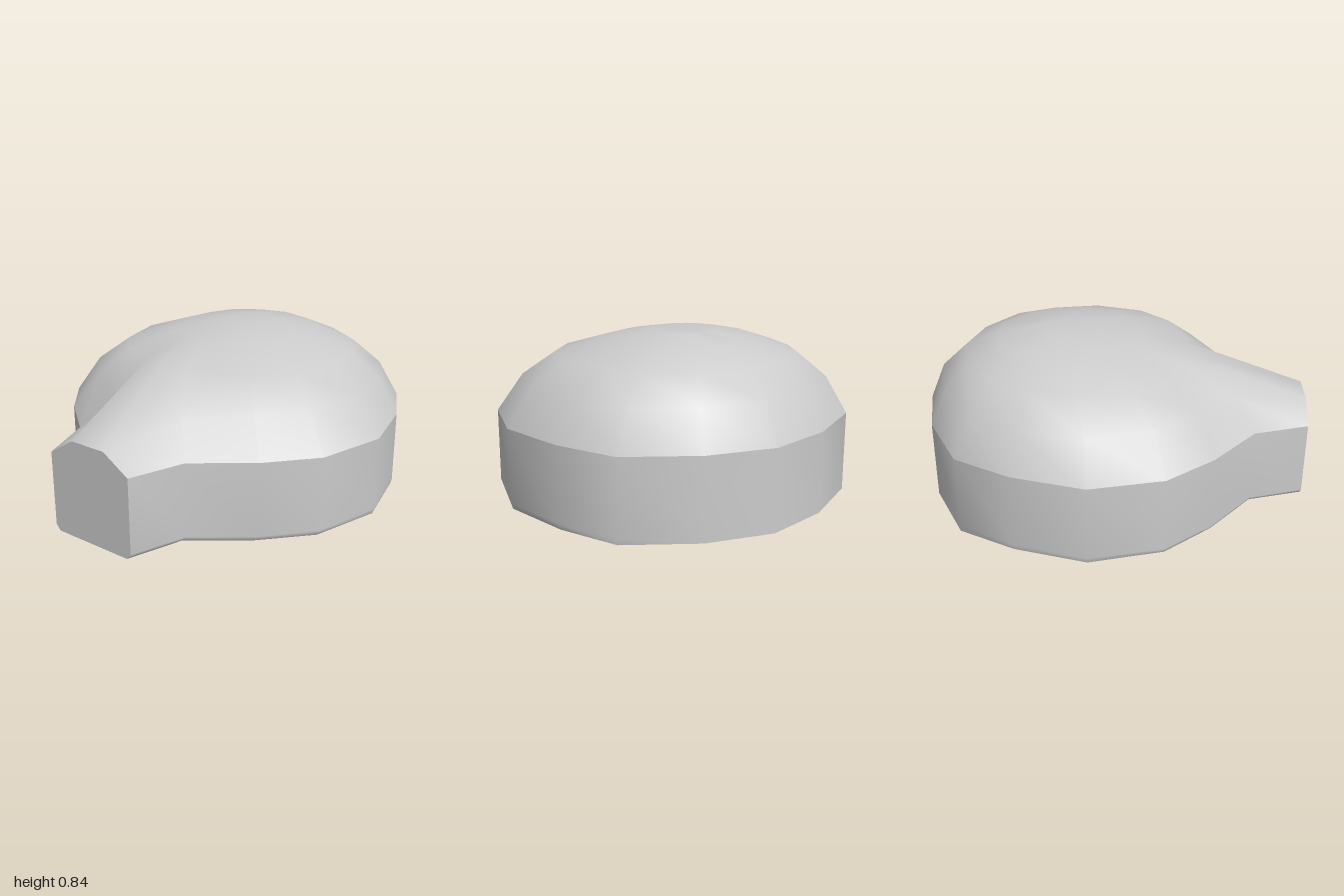
import * as THREE from 'three';

// Half cross-sections as [x, z], running from the back centre to the front corner
const OUTLINE = [[0, -1], [0.34, -0.92], [0.675, -0.73], [0.82, -0.44], [0.905, -0.08], [0.81, 0.28], [0.61, 0.51], [0.34, 0.72], [0.245, 1]];
const SHOULDER = [[0, -0.92], [0.31, -0.84], [0.59, -0.66], [0.72, -0.41], [0.78, -0.1], [0.69, 0.22], [0.5, 0.41], [0.22, 0.6], [0.1, 1]];
const CROWN = [[0, -0.79], [0.25, -0.73], [0.47, -0.58], [0.57, -0.38], [0.62, -0.14], [0.55, 0.12], [0.4, 0.28], [0.2, 0.36], [0.08, 0.39]];
const BEVEL = [0, 0, 0, 0.01, 0.01, 0.02, 0.03, 0.03, 0.025];
const FRONT = 8; // the loop segment crossing the front of the spout

// Mirrors a half cross-section into a closed loop of points
function ring(half, height) {
  const right = half.map(([x, z], i) => [x, typeof height === 'number' ? height : height[i], z]);
  const left = right.slice(1).reverse().map(([x, y, z]) => [-x, y, z]);
  return [...right, ...left];
}

// Shrinks the crown towards the centre of the dome
const shrink = (sx, sz) => CROWN.map(([x, z]) => [x * sx, -0.24 + (z + 0.2) * sz]);

function makeMesh(name, points, index) {
  const geometry = new THREE.BufferGeometry();
  geometry.setAttribute('position', new THREE.Float32BufferAttribute(points.flat(), 3));
  geometry.setIndex(index);
  geometry.computeVertexNormals();
  const mesh = new THREE.Mesh(geometry, new THREE.MeshStandardMaterial({ color: 0xcccccc }));
  mesh.name = name;
  return mesh;
}

// Joins rings from bottom to top, leaving the front open on the first openBands bands
function loft(name, rings, openBands, capped) {
  const n = rings[0].length;
  const index = [];
  for (let r = 0; r < rings.length - 1; r++) {
    for (let i = 0; i < n; i++) {
      if (i === FRONT && r < openBands) continue;
      const a = r * n + i, b = r * n + (i + 1) % n, c = b + n, d = a + n;
      index.push(a, d, c, a, c, b);
    }
  }
  if (capped) {
    const t = (rings.length - 1) * n;
    for (let i = 1; i < n - 1; i++) index.push(t, t + i + 1, t + i);
  }
  return makeMesh(name, rings.flat(), index);
}

export function createModel() {
  const group = new THREE.Group();
  group.name = 'domedBody';

  const sole = ring(OUTLINE.map(([x, z], i) => [x - BEVEL[i], z]), 0);
  const bevelTop = ring(OUTLINE, 0.03);
  const rim = ring(OUTLINE, 0.41);
  const shoulder = ring(SHOULDER, [0.6, 0.6, 0.6, 0.6, 0.6, 0.6, 0.6, 0.565, 0.5]);

  // Upright wall with a slight bevel at its foot
  group.add(loft('sideWall', [sole, bevelTop, rim], 2, false));

  // Smooth dome running forward into the spout
  group.add(loft('dome', [
    rim,
    shoulder,
    ring(CROWN, 0.72),
    ring(shrink(0.6, 0.627), 0.8),
    ring(shrink(0.26, 0.27), 0.84),
  ], 1, true));

  // Flat underside
  const baseIndex = [];
  for (let i = 1; i < sole.length - 1; i++) baseIndex.push(0, i, i + 1);
  group.add(makeMesh('underside', sole, baseIndex));

  // Flat end of the spout
  const end = [sole, bevelTop, rim, shoulder].map((r) => r[FRONT]);
  const face = [...end, ...end.map(([x, y, z]) => [-x, y, z]).reverse()];
  const faceIndex = [];
  for (let i = 1; i < face.length - 1; i++) faceIndex.push(0, i, i + 1);
  group.add(makeMesh('spoutEnd', face, faceIndex));

  return group;
}
